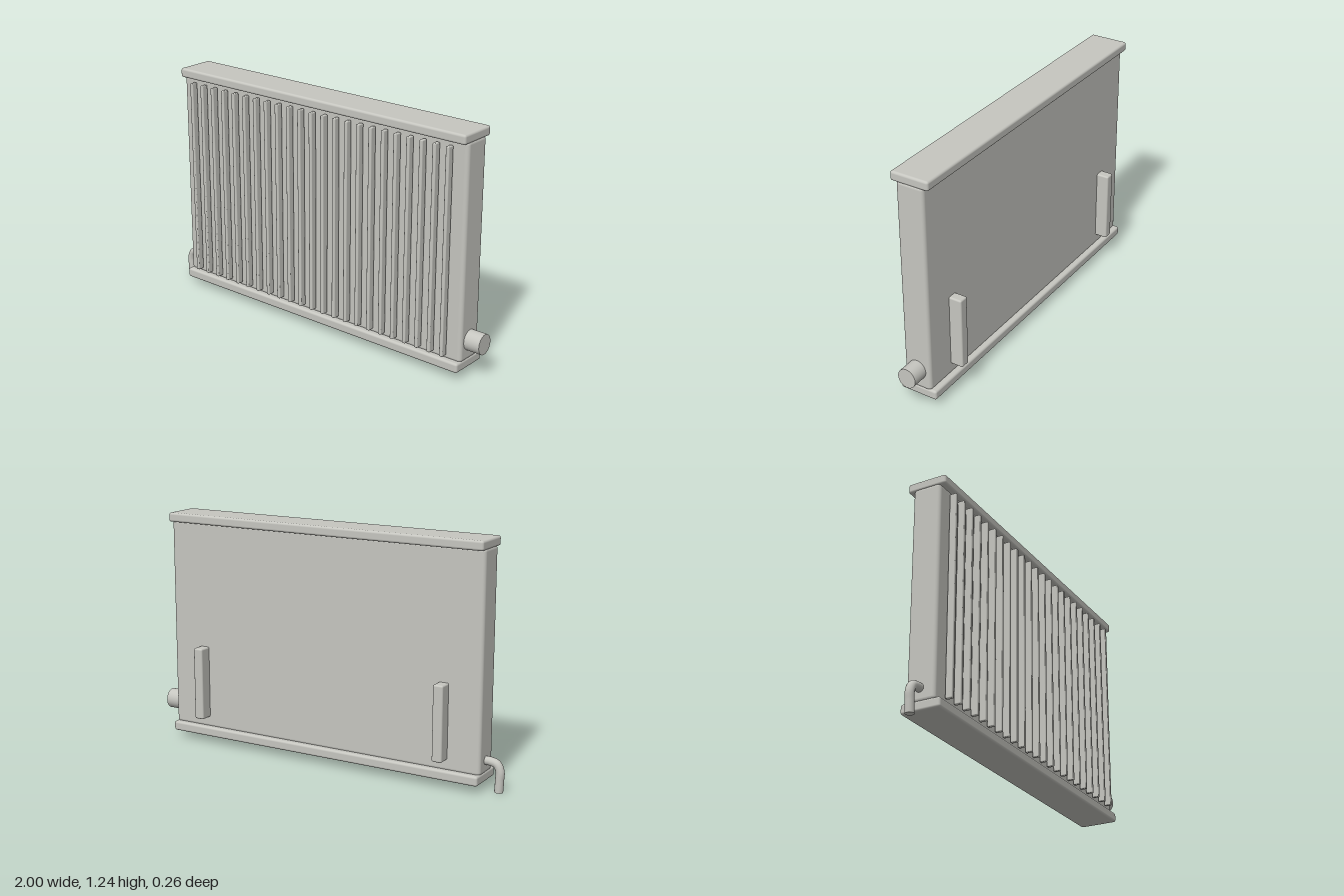
import * as THREE from 'three';
import { RoundedBoxGeometry } from 'three/addons/geometries/RoundedBoxGeometry.js';

export function createModel() {
  const model = new THREE.Group();
  model.name = 'radiator';
  const enamel = new THREE.MeshStandardMaterial({ color: 0xc6c6c0 });
  enamel.name = 'grey enamel';

  function add(name, geometry, x = 0, y = 0, z = 0) {
    const mesh = new THREE.Mesh(geometry, enamel);
    mesh.name = name;
    mesh.position.set(x, y, z);
    model.add(mesh);
    return mesh;
  }

  // Rounded box given by its extents on each axis
  function block(name, [x0, x1], [y0, y1], [z0, z1], radius) {
    const geometry = new RoundedBoxGeometry(x1 - x0, y1 - y0, z1 - z0, 3, radius);
    return add(name, geometry, (x0 + x1) / 2, (y0 + y1) / 2, (z0 + z1) / 2);
  }

  // Main panel with its top and bottom rails
  const span = [-0.9, 0.914];
  block('panel', span, [0.082, 1.201], [-0.06, 0.089], 0.02);
  block('topRail', span, [1.19, 1.239], [-0.089, 0.118], 0.012);
  block('bottomRail', span, [0.041, 0.092], [-0.089, 0.118], 0.012);

  // Row of slim vertical fins standing just off the front
  const finCount = 23;
  for (let i = 0; i < finCount; i++) {
    const x = THREE.MathUtils.lerp(-0.811, 0.827, i / (finCount - 1));
    block('fin', [x - 0.01, x + 0.01], [0.111, 1.172], [0.095, 0.131], 0.005);
  }

  // Wall brackets on the back
  for (const x of [-0.7, 0.716]) {
    block('wallBracket', [x - 0.027, x + 0.027], [0.143, 0.531], [-0.128, -0.055], 0.009);
  }

  // Valve knob on the left end
  const knob = add('valveKnob', new THREE.CylinderGeometry(0.053, 0.053, 0.1, 32), 0.95, 0.187, 0.015);
  knob.rotation.z = Math.PI / 2;
  knob.scale.z = 0.94;

  // Supply pipe bending down to the floor on the right end
  const path = new THREE.CatmullRomCurve3([
    [-0.88, 0.15], [-0.925, 0.15], [-0.96, 0.139], [-0.976, 0.105], [-0.975, 0.06], [-0.972, 0],
  ].map(([x, y]) => new THREE.Vector3(x, y, 0.012)));
  add('supplyPipe', new THREE.TubeGeometry(path, 32, 0.022, 16), 0, 0, 0);
  const end = add('pipeEnd', new THREE.CircleGeometry(0.022, 16), -0.972, 0, 0.012);
  end.rotation.x = Math.PI / 2;

  return model;
}
